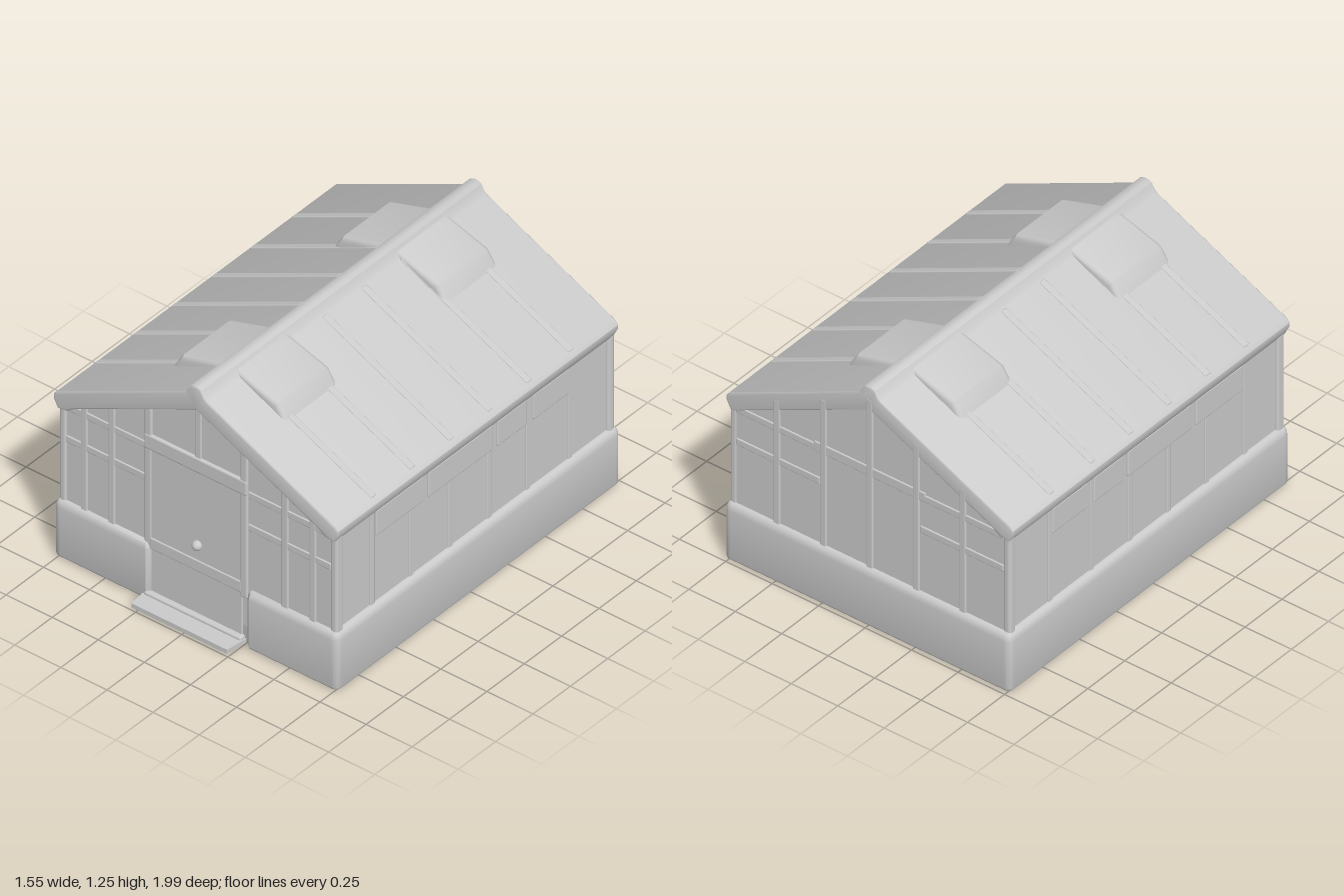
import * as THREE from 'three';
import { RoundedBoxGeometry } from 'three/addons/geometries/RoundedBoxGeometry.js';
import { toCreasedNormals } from 'three/addons/utils/BufferGeometryUtils.js';

const FRONT = 0.885, BACK = -0.965, SIDE = 0.74;
const roofY = x => 0.87 + 0.475 * (0.755 - Math.abs(x));

export function createModel() {
  const model = new THREE.Group();
  const mat = new THREE.MeshStandardMaterial({ color: 0xcccccc });

  const add = (name, geometry, parent = model) => {
    const mesh = new THREE.Mesh(geometry, mat);
    mesh.name = name;
    parent.add(mesh);
    return mesh;
  };
  const group = name => {
    const g = new THREE.Group();
    g.name = name;
    model.add(g);
    return g;
  };
  // Softly rounded block between two corners
  const block = (name, x0, x1, y0, y1, z0, z1, parent, radius = 0.007) => {
    const size = [x1 - x0, y1 - y0, z1 - z0];
    const r = Math.min(radius, ...size.map(s => s * 0.45));
    const mesh = add(name, new RoundedBoxGeometry(...size, 2, r), parent);
    mesh.position.set((x0 + x1) / 2, (y0 + y1) / 2, (z0 + z1) / 2);
    return mesh;
  };
  const shapeOf = pts => new THREE.Shape(pts.map(p => new THREE.Vector2(...p)));
  // Profile in x and y, run from z0 to z1 with bevelled ends
  const alongZ = (pts, z0, z1, bevel) => {
    const geo = new THREE.ExtrudeGeometry(shapeOf(pts), {
      depth: z1 - z0 - 2 * bevel, bevelThickness: bevel, bevelSize: bevel,
      bevelOffset: -bevel, bevelSegments: 3, bevelEnabled: bevel > 0,
    });
    geo.translate(0, 0, z0 + bevel);
    return toCreasedNormals(geo, 0.6);
  };
  // Right half outline (bottom to ridge) completed by its mirror image
  const mirrored = pts => [...pts, ...pts.filter(p => p[0] > 0).reverse().map(([x, y]) => [-x, y])];

  // Gabled body
  add('walls', alongZ(mirrored([[SIDE, 0.1], [SIDE, 0.84], [0, 1.19]]), BACK, FRONT, 0));

  // Plinth with rounded corners and a recess for the door
  const plan = new THREE.Shape();
  const px = 0.77, pf = -0.91, pb = 0.99, r = 0.035;
  plan.moveTo(-px + r, pf);
  [[-0.29, pf], [-0.265, -0.885], [0.245, -0.885], [0.27, pf], [px - r, pf]].forEach(p => plan.lineTo(...p));
  plan.quadraticCurveTo(px, pf, px, pf + r);
  plan.lineTo(px, pb - r);
  plan.quadraticCurveTo(px, pb, px - r, pb);
  plan.lineTo(-px + r, pb);
  plan.quadraticCurveTo(-px, pb, -px, pb - r);
  plan.lineTo(-px, pf + r);
  plan.quadraticCurveTo(-px, pf, -px + r, pf);
  const plinthGeo = new THREE.ExtrudeGeometry(plan, {
    depth: 0.225, bevelThickness: 0.04, bevelSize: 0.028, bevelOffset: -0.028, bevelSegments: 4,
  });
  // Flatten the lower bevel so the foot is squarer than the sloping top
  const pos = plinthGeo.attributes.position;
  for (let i = 0; i < pos.count; i++) {
    const z = pos.getZ(i);
    pos.setZ(i, z < 0 ? z * 0.5 + 0.02 : z + 0.02 + (z > 0.2 ? 0.02 : 0));
  }
  plinthGeo.rotateX(-Math.PI / 2).scale(1, 1, -1);
  // Mirroring in z turns the faces around, so swap two corners of each
  for (let i = 0; i < pos.count; i += 3) {
    const a = new THREE.Vector3().fromBufferAttribute(pos, i);
    const b = new THREE.Vector3().fromBufferAttribute(pos, i + 1);
    pos.setXYZ(i, b.x, b.y, b.z);
    pos.setXYZ(i + 1, a.x, a.y, a.z);
  }
  const plinth = add('plinth', toCreasedNormals(plinthGeo, 0.6));
  // The plan's front edge is at negative y, which ends up at -z here
  plinth.rotation.y = 0;
  const box = new THREE.Box3().setFromBufferAttribute(plinth.geometry.attributes.position);
  if (box.max.z > 0.95) plinth.rotation.y = Math.PI;

  // Roof shell with thickened eaves and ridge cap
  const roofProfile = mirrored([
    [0.7, 0.79], [0.75, 0.785], [0.773, 0.83], [0.772, 0.85], [0.755, 0.87],
    [0.06, 1.2], [0.045, 1.215], [0.03, 1.243], [0.012, 1.252],
  ]);
  roofProfile.push([-0.66, 0.82], [0, 1.13], [0.66, 0.82]);
  add('roof', alongZ(roofProfile, -0.972, 0.908, 0.008));

  // Shallow ribs across the roof slopes
  const ribs = group('roofRibs');
  const slope = Math.atan(0.475), length = 0.69 / Math.cos(slope);
  for (const s of [-1, 1]) {
    for (const z of [0.64, 0.38, 0.12, -0.14, -0.4, -0.68]) {
      const rib = add('roofRib', new RoundedBoxGeometry(length, 0.014, 0.035, 2, 0.006), ribs);
      rib.position.set(s * 0.405, roofY(0.405) - 0.002, z);
      rib.rotation.z = -s * slope;
    }
  }

  // Raised roof windows
  const windows = group('roofWindows');
  const windowProfile = [[0.02, 1.15], [0.315, 1.07], [0.29, 1.115], [0.262, 1.155], [0.03, 1.228]];
  for (const s of [-1, 1]) {
    const pts = windowProfile.map(([x, y]) => [s * x, y]);
    for (const z of [0.51, -0.56]) add('roofWindow', alongZ(pts, z - 0.175, z + 0.175, 0.025), windows);
  }

  // Corner posts
  const posts = group('cornerPosts');
  for (const s of [-1, 1]) {
    const x = s * 0.735;
    block('frontPost', x - 0.02, x + 0.02, 0.27, 0.83, FRONT - 0.04, FRONT + 0.008, posts, 0.015);
    block('backPost', x - 0.02, x + 0.02, 0.27, 0.83, BACK - 0.004, BACK + 0.04, posts, 0.015);
  }

  // Glazing bars on both gables
  const gableBars = group('gableBars');
  for (const [z, xs] of [[FRONT, [-0.62, -0.47, 0.47, 0.62]], [BACK, [-0.5, -0.25, 0, 0.25, 0.5]]]) {
    for (const x of xs)
      block('gableBar', x - 0.018, x + 0.018, 0.28, roofY(x) - 0.04, z - 0.008, z + 0.008, gableBars);
    for (const y of [0.63, 0.8])
      for (const s of [-1, 1])
        block('gableRail', s < 0 ? -0.72 : 0.27, s < 0 ? -0.27 : 0.72, y - 0.018, y + 0.018, z - 0.006, z + 0.006, gableBars);
  }
  block('backRail', -0.3, 0.3, 0.78, 0.83, BACK - 0.006, BACK + 0.006, gableBars);
  block('frontGableBar', -0.018, 0.018, 0.86, 1.16, FRONT - 0.008, FRONT + 0.008, gableBars);

  // Door with frame, lintel, middle rail and knob
  const door = group('door');
  block('doorPanel', -0.26, 0.24, 0.03, 0.8, FRONT - 0.01, FRONT + 0.006, door);
  block('doorLintel', -0.29, 0.27, 0.79, 0.87, FRONT - 0.01, FRONT + 0.014, door, 0.012);
  for (const x of [-0.27, 0.25])
    block('doorJamb', x - 0.02, x + 0.02, 0.25, 1.05, FRONT - 0.01, FRONT + 0.011, door, 0.01);
  block('doorRail', -0.26, 0.24, 0.27, 0.33, FRONT - 0.005, FRONT + 0.011, door, 0.008);
  const knob = add('doorKnob', new THREE.SphereGeometry(0.024, 16, 12), door);
  knob.position.set(0, 0.41, FRONT + 0.012);

  // Thin threshold step, narrower at its outer edge
  const step = shapeOf([[-0.29, -0.86], [0.26, -0.86], [0.245, -0.998], [-0.275, -0.998]].reverse());
  const stepGeo = new THREE.ExtrudeGeometry(step, { depth: 0.022, bevelEnabled: false });
  add('doorstep', stepGeo.rotateX(-Math.PI / 2)).position.y = 0.012;
  block('stepRiser', -0.28, 0.25, 0.012, 0.05, 0.87, 0.915, model, 0.012);

  // Bars, rail and louvre panels on the long sides
  const sideBars = group('sideBars');
  for (const s of [-1, 1]) {
    const x = s * SIDE;
    for (const z of [0.64, 0.38, 0.12, -0.14, -0.4, -0.68])
      block('sideBar', x - 0.006, x + 0.006, 0.28, 0.8, z - 0.015, z + 0.015, sideBars);
    for (const [z0, z1] of [[0.3, 0.62], [-0.16, 0.27], [-0.39, -0.19], [-0.67, -0.43]])
      block('sideLouvre', x - 0.009, x + 0.009, 0.65, 0.785, z0, z1, sideBars, 0.009);
  }

  return model;
}
